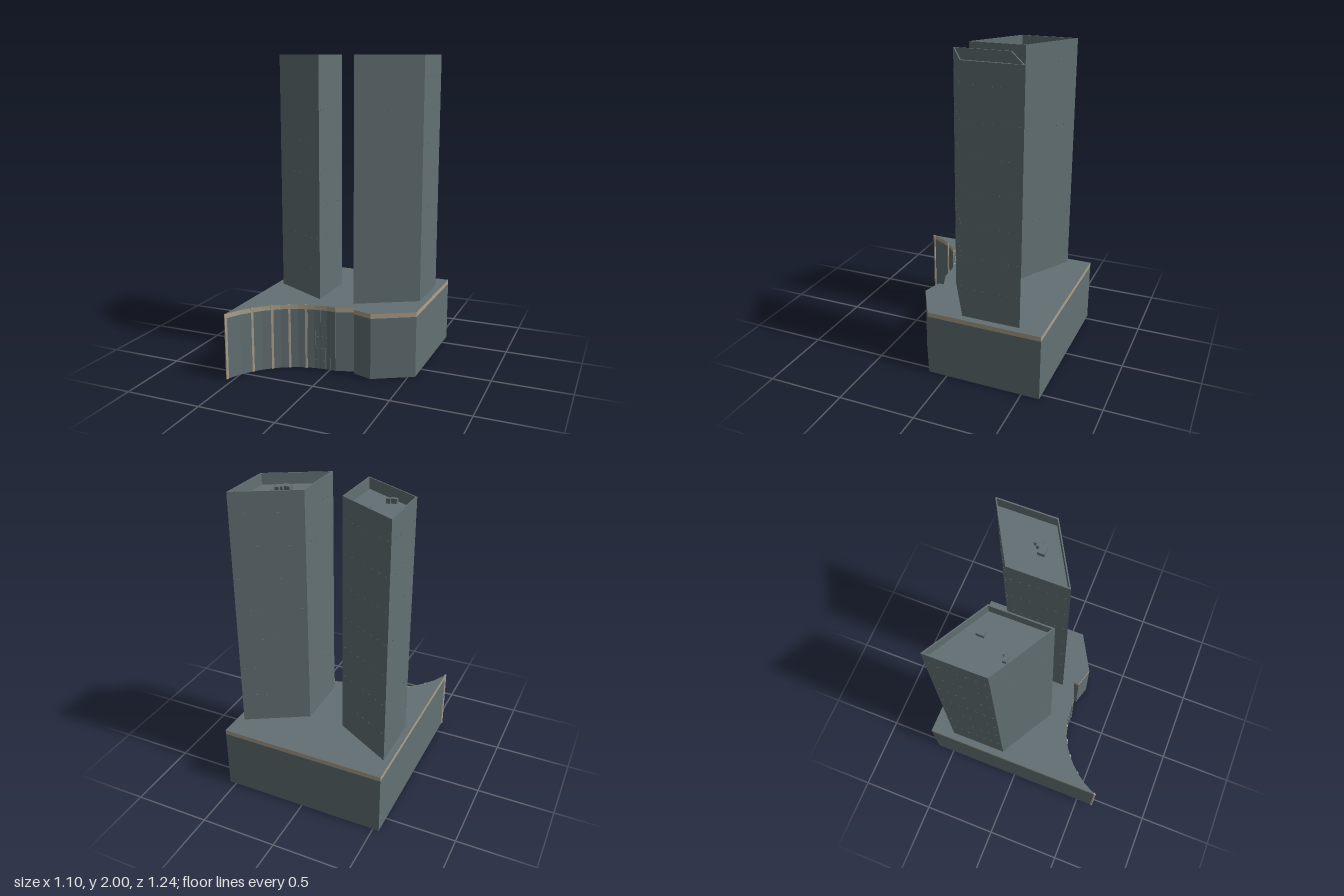
import * as THREE from 'three';

const slate = new THREE.MeshStandardMaterial({ color: 0x627073, side: THREE.DoubleSide });
slate.name = 'slate';
const tan = new THREE.MeshStandardMaterial({ color: 0xaea18c, side: THREE.DoubleSide });
tan.name = 'tan trim';

const BASE = 0.4, ROOF = 0.43, TOP = 2, DECK = 1.93;

function add(parent, name, geometry, material, x = 0, y = 0, z = 0) {
  const mesh = new THREE.Mesh(geometry, material);
  mesh.name = name;
  mesh.position.set(x, y, z);
  parent.add(mesh);
  return mesh;
}

// Plan points are [x, z]; shapes are drawn with z flipped and laid flat
const planShape = (pts) => new THREE.Shape(pts.map(([x, z]) => new THREE.Vector2(x, -z)));

function prism(shape, y0, y1) {
  return new THREE.ExtrudeGeometry(shape, { depth: y1 - y0, bevelEnabled: false })
    .rotateX(-Math.PI / 2).translate(0, y0, 0);
}

// Open vertical wall following a closed plan
function wall(pts, y0, y1) {
  const v = [];
  pts.forEach(([ax, az], i) => {
    const [bx, bz] = pts[(i + 1) % pts.length];
    v.push(bx, y0, bz, ax, y0, az, ax, y1, az, bx, y0, bz, ax, y1, az, bx, y1, bz);
  });
  const g = new THREE.BufferGeometry();
  g.setAttribute('position', new THREE.Float32BufferAttribute(v, 3));
  g.computeVertexNormals();
  return g;
}

// Podium: hollow underneath, with a concave front sweeping to the right corner
function podium() {
  const g = new THREE.Group();
  g.name = 'podium';
  const plan = [
    [-0.54, -0.62], [0.547, -0.617], [0.542, 0.125], [0.29, 0.267], [0.165, 0.23], [0.165, 0.195],
    [0.04, 0.24], [-0.02, 0.238], [-0.1, 0.247], [-0.155, 0.26], [-0.205, 0.275], [-0.255, 0.298],
    [-0.305, 0.325], [-0.35, 0.357], [-0.4, 0.4], [-0.445, 0.447], [-0.495, 0.515], [-0.543, 0.61],
  ];
  add(g, 'podiumWalls', wall(plan, 0, BASE), slate);
  add(g, 'roofTrim', wall(plan, BASE, ROOF), tan);
  add(g, 'podiumRoof', new THREE.ShapeGeometry(planShape(plan)).rotateX(-Math.PI / 2), slate, 0, ROOF, 0);

  // Slim columns along the curve
  for (const [x, z, a] of [[-0.541, 0.61, 1.05], [-0.445, 0.449, 0.82], [-0.35, 0.359, 0.66],
    [-0.255, 0.301, 0.5], [-0.155, 0.262, 0.28]]) {
    add(g, 'column', new THREE.BoxGeometry(0.015, ROOF, 0.01), tan, x, ROOF / 2, z).rotation.y = a;
  }

  // Entrance glazing bars
  for (const x of [-0.1, -0.065, -0.03, 0.005, 0.038]) {
    const z = x < -0.02 ? 0.238 + (-0.02 - x) * 0.11 : 0.24;
    add(g, 'entranceMullion', new THREE.BoxGeometry(0.004, BASE, 0.004), slate, x, BASE / 2, z);
  }
  for (const y of [0.06, 0.14, 0.22, 0.3]) {
    add(g, 'entranceTransom', new THREE.BoxGeometry(0.08, 0.004, 0.004), slate, -0.06, y, 0.2425).rotation.y = 0.11;
  }
  return g;
}

// Parallelogram tower; side is -1 or 1, boxes are [x, z, width, depth] on the roof
function tower(name, side, boxes) {
  const g = new THREE.Group();
  g.name = name;
  let plan = [[0.118, -0.25], [0.497, -0.465], [0.497, -0.09], [0.118, 0.125]];
  if (side < 0) plan = plan.map(([x, z]) => [-x, z]).reverse();
  add(g, 'towerBody', prism(planShape(plan), ROOF, DECK), slate);

  // Parapet around a sunken roof
  const cx = side * 0.3075, cz = -0.17, k = 0.955;
  const inner = plan.map(([x, z]) => [cx + (x - cx) * k, cz + (z - cz) * k]);
  const ring = planShape(plan);
  ring.holes.push(planShape(inner));
  add(g, 'parapet', prism(ring, DECK, TOP), slate);
  for (const [x, z, w, d] of boxes) {
    add(g, 'roofUnit', new THREE.BoxGeometry(w, 0.03, d), slate, x, DECK + 0.015, z);
  }

  // Rows of small facade vents on every face
  plan.forEach(([ax, az], i) => {
    const [bx, bz] = plan[(i + 1) % 4];
    const angle = -Math.atan2(bz - az, bx - ax);
    for (let row = 0; row < 7; row++) {
      for (let n = 0; n < 7; n++) {
        const t = (n + 0.5) / 7;
        add(g, 'facadeVent', new THREE.BoxGeometry(0.012, 0.004, 0.003), slate,
          ax + (bx - ax) * t, 1.87 - row * 0.208, az + (bz - az) * t).rotation.y = angle;
      }
    }
  });
  return g;
}

export function createModel() {
  const model = new THREE.Group();
  model.name = 'twinTowers';
  model.add(podium());
  model.add(tower('rightTower', -1, [
    [-0.261, -0.233, 0.036, 0.046], [-0.35, -0.057, 0.04, 0.024], [-0.322, -0.07, 0.026, 0.02]]));
  model.add(tower('leftTower', 1, [
    [0.307, -0.11, 0.054, 0.044], [0.34, -0.136, 0.05, 0.034], [0.344, -0.161, 0.028, 0.02]]));
  return model;
}
